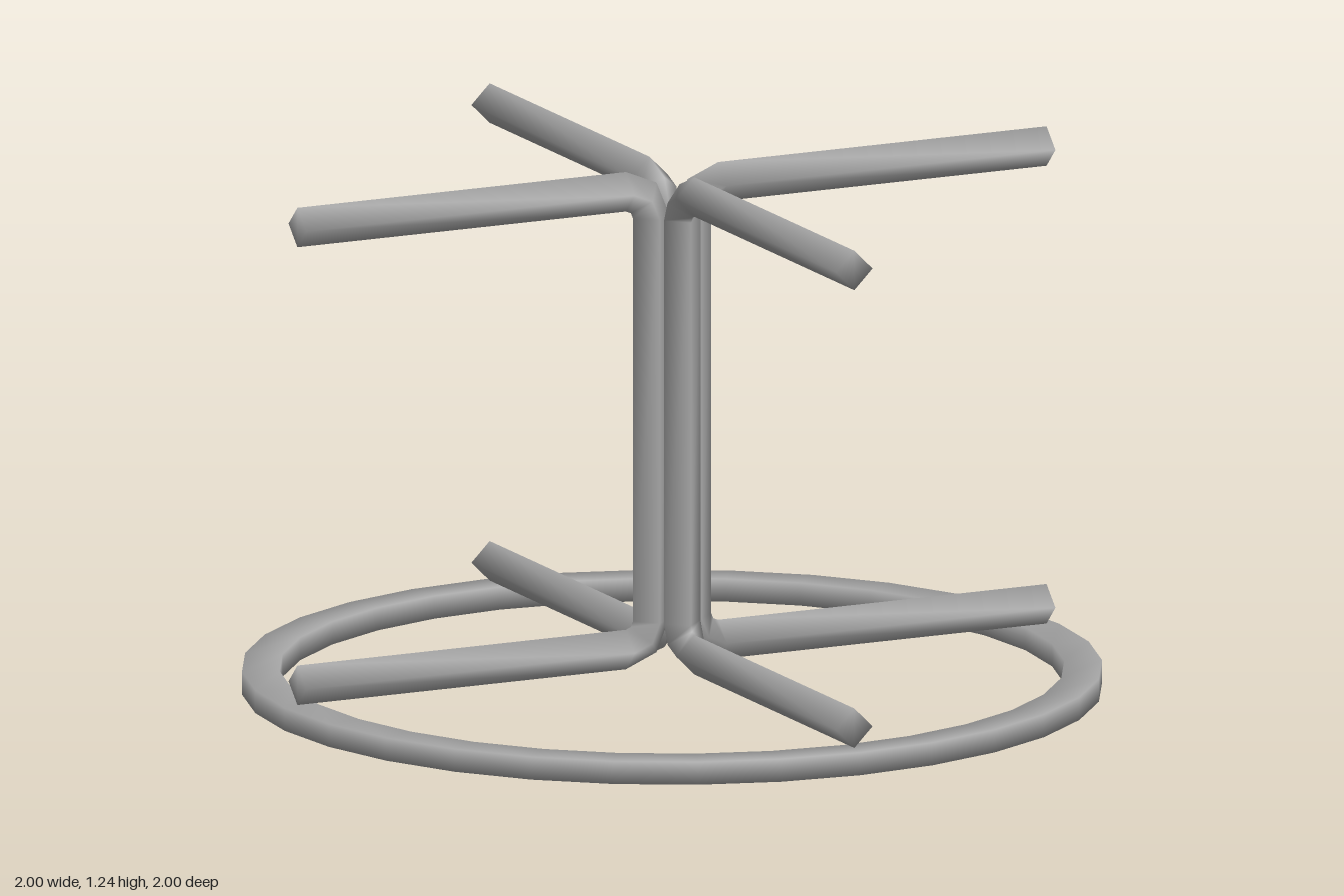
import * as THREE from 'three';

const material = new THREE.MeshStandardMaterial({ color: 0xa6a6a6 });
const ROD = 0.047;               // half diagonal of the square rod
const POST = 0.054, BEND = 0.065, REACH = 0.967;
const LOW = 0.105, HIGH = 1.195;

// Joins four-cornered sections into one smooth-shaded bar
function loft(sections, closed) {
  const index = [], count = sections.length;
  for (let i = 0; i < (closed ? count : count - 1); i++) {
    for (let j = 0; j < 4; j++) {
      const k = (j + 1) % 4, a = i * 4, b = ((i + 1) % count) * 4;
      index.push(a + j, a + k, b + k, a + j, b + k, b + j);
    }
  }
  if (!closed) {
    const e = (count - 1) * 4;
    index.push(0, 2, 1, 0, 3, 2, e, e + 1, e + 2, e, e + 2, e + 3);
  }
  const geometry = new THREE.BufferGeometry();
  geometry.setAttribute('position', new THREE.Float32BufferAttribute(sections.flat(2), 3));
  geometry.setIndex(index);
  geometry.computeVertexNormals();
  return geometry;
}

// C-shaped rod: arm, bend, post, bend, arm, with a diamond section
function rodGeometry() {
  const stations = [[REACH, LOW, 180]];
  for (const deg of [180, 135, 90, 90, 45, 0]) {
    const a = THREE.MathUtils.degToRad(deg);
    const cy = stations.length < 4 ? LOW + BEND : HIGH - BEND;
    stations.push([POST + BEND - BEND * Math.sin(a), cy + BEND * Math.cos(a), deg]);
  }
  stations.push([REACH, HIGH, 0]);
  return loft(stations.map(([x, y, deg]) => {
    const t = THREE.MathUtils.degToRad(deg);
    return [[ROD, 0], [0, ROD], [-ROD, 0], [0, -ROD]].map(
      ([n, s]) => [x - Math.sin(t) * n, y + Math.cos(t) * n, s]);
  }), false);
}

// Base hoop: flat rectangular section carried round a 32-sided circle
function hoopGeometry() {
  const inner = 0.912, outer = 1, height = 0.054;
  const corners = [[outer, height], [outer, 0], [inner, 0], [inner, height]];
  const sections = [];
  for (let i = 0; i < 32; i++) {
    const t = (i / 32) * Math.PI * 2;
    sections.push(corners.map(([r, y]) => [r * Math.sin(t), y, r * Math.cos(t)]));
  }
  return loft(sections, true);
}

export function createModel() {
  const model = new THREE.Group();
  model.name = 'tableFrame';

  const hoop = new THREE.Mesh(hoopGeometry(), material);
  hoop.name = 'baseRing';
  model.add(hoop);

  // four bent rods back to back, on the diagonals
  const geometry = rodGeometry();
  const names = ['backLeftRod', 'backRightRod', 'frontRightRod', 'frontLeftRod'];
  names.forEach((name, i) => {
    const rod = new THREE.Mesh(geometry, material);
    rod.name = name;
    rod.rotation.y = Math.PI / 4 + i * Math.PI / 2;
    model.add(rod);
  });
  return model;
}
